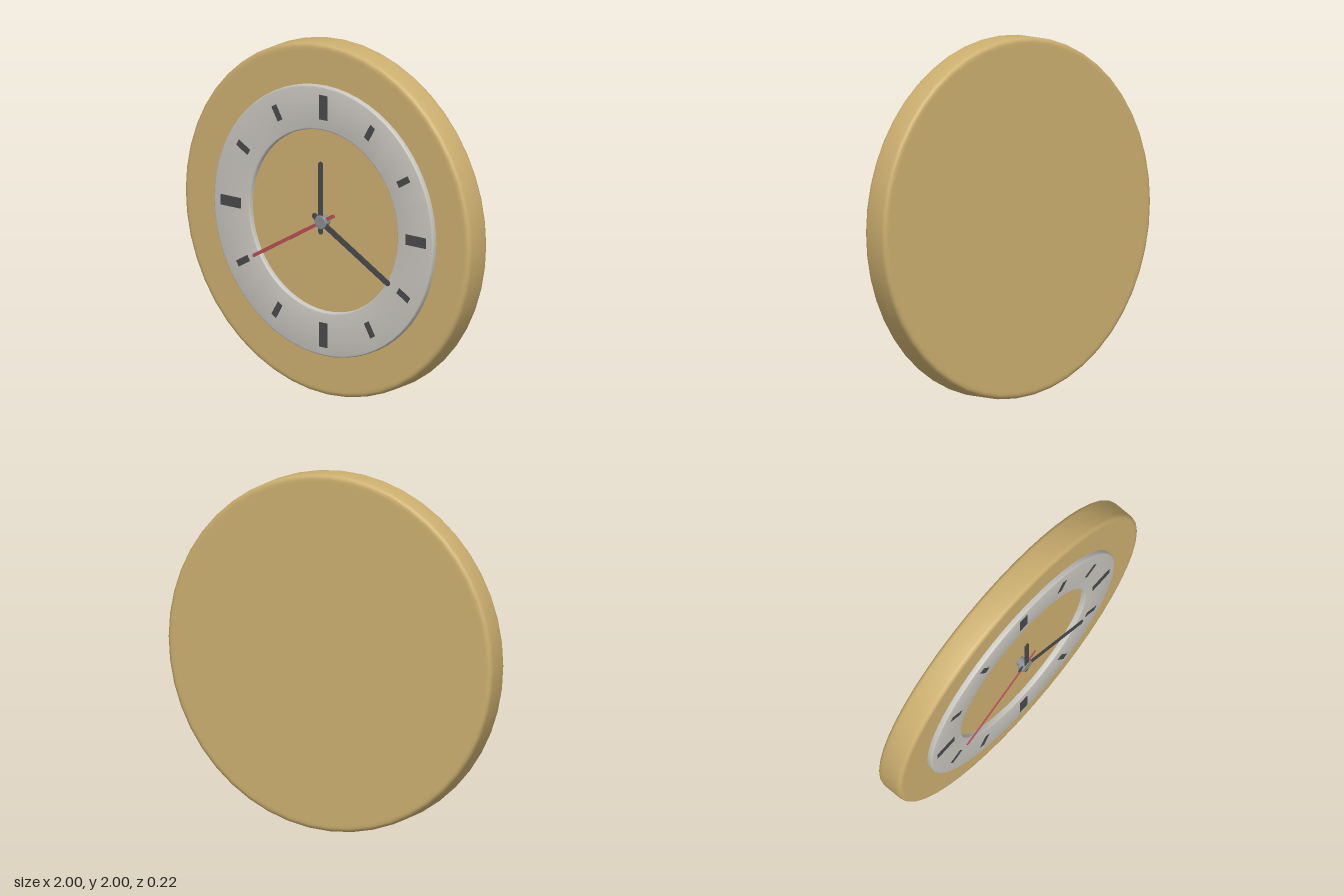
import * as THREE from 'three';
import { toCreasedNormals } from 'three/addons/utils/BufferGeometryUtils.js';

const CENTRE_Y = 1;

const material = (color) => new THREE.MeshStandardMaterial({ color });
const gold = material(0xcdb070);
const ivory = material(0xc8c5be);
const dark = material(0x4a4a4c);
const red = material(0xb85055);
const steel = material(0x8a8d90);

// Rounded corner of a profile: points on an arc about (r, z)
function corner(r, z, radius, startAngle, steps = 4) {
  return Array.from({ length: steps + 1 }, (_, i) => {
    const a = startAngle + (i / steps) * Math.PI / 2;
    return new THREE.Vector2(r + radius * Math.cos(a), z + radius * Math.sin(a));
  });
}

// Lathe around the z axis; profile points are (radius, z)
function turned(profile, segments, mat, name) {
  const geometry = new THREE.LatheGeometry(profile, segments).rotateX(Math.PI / 2);
  const mesh = new THREE.Mesh(toCreasedNormals(geometry, 0.5), mat);
  mesh.name = name;
  return mesh;
}

// Flat round-ended hand, pointing along +y before it is turned clockwise
function hand(name, mat, length, tail, width, z, angle) {
  const r = width / 2;
  const shape = new THREE.Shape();
  shape.absarc(0, length - r, r, 0, Math.PI, false);
  shape.absarc(0, -tail + r, r, Math.PI, Math.PI * 2, false);
  shape.closePath();
  const geometry = new THREE.ExtrudeGeometry(shape, { depth: 0.006, bevelEnabled: false, curveSegments: 8 });
  const mesh = new THREE.Mesh(geometry, mat);
  mesh.name = name;
  mesh.position.z = z;
  mesh.rotation.z = -angle;
  return mesh;
}

export function createModel() {
  const clock = new THREE.Group();
  clock.name = 'wallClock';
  const face = new THREE.Group();
  face.name = 'clockFace';
  face.position.y = CENTRE_Y;
  clock.add(face);

  // Thick round body with softened rims
  const back = -0.112, front = 0.052, b = 0.025;
  face.add(turned([
    new THREE.Vector2(0, back),
    new THREE.Vector2(0.96, back),
    ...corner(1 - b, back + b, b, -Math.PI / 2),
    ...corner(1 - b, front - b, b, 0),
    new THREE.Vector2(0.96, front),
    new THREE.Vector2(0, front),
  ], 48, gold, 'body'));

  // Raised hour ring
  const inner = 0.517, outer = 0.768, top = 0.082, c = 0.01;
  face.add(turned([
    new THREE.Vector2(inner, 0.05),
    new THREE.Vector2(outer, 0.05),
    ...corner(outer - c, top - c, c, 0),
    ...corner(inner + c, top - c, c, Math.PI / 2),
    new THREE.Vector2(inner, 0.05),
  ], 64, ivory, 'hourRing'));

  // Hour marks, with broader bars at the quarters
  const marks = new THREE.Group();
  marks.name = 'hourMarks';
  for (let i = 0; i < 12; i++) {
    const quarter = i % 3 === 0;
    const mark = new THREE.Mesh(
      new THREE.BoxGeometry(quarter ? 0.06 : 0.037, quarter ? 0.14 : 0.09, 0.006), dark);
    const a = i * Math.PI / 6;
    mark.name = quarter ? 'quarterMark' : 'hourMark';
    mark.position.set(0.648 * Math.sin(a), 0.648 * Math.cos(a), top - 0.001);
    mark.rotation.z = -a;
    marks.add(mark);
  }
  face.add(marks);

  // Hands, stacked from the dial outwards
  const step = Math.PI / 6;
  face.add(
    hand('secondHand', red, 0.56, 0.1, 0.02, 0.09, 8 * step),
    hand('minuteHand', dark, 0.55, 0.07, 0.034, 0.096, 4 * step),
    hand('hourHand', dark, 0.345, 0.07, 0.03, 0.102, 0),
  );

  // Axle and hub cap
  face.add(turned([
    new THREE.Vector2(0.028, 0.045),
    new THREE.Vector2(0.028, 0.078),
    new THREE.Vector2(0.04, 0.078),
    new THREE.Vector2(0.04, 0.108),
    new THREE.Vector2(0.036, 0.112),
    new THREE.Vector2(0, 0.112),
  ], 24, steel, 'hub'));

  return clock;
}
